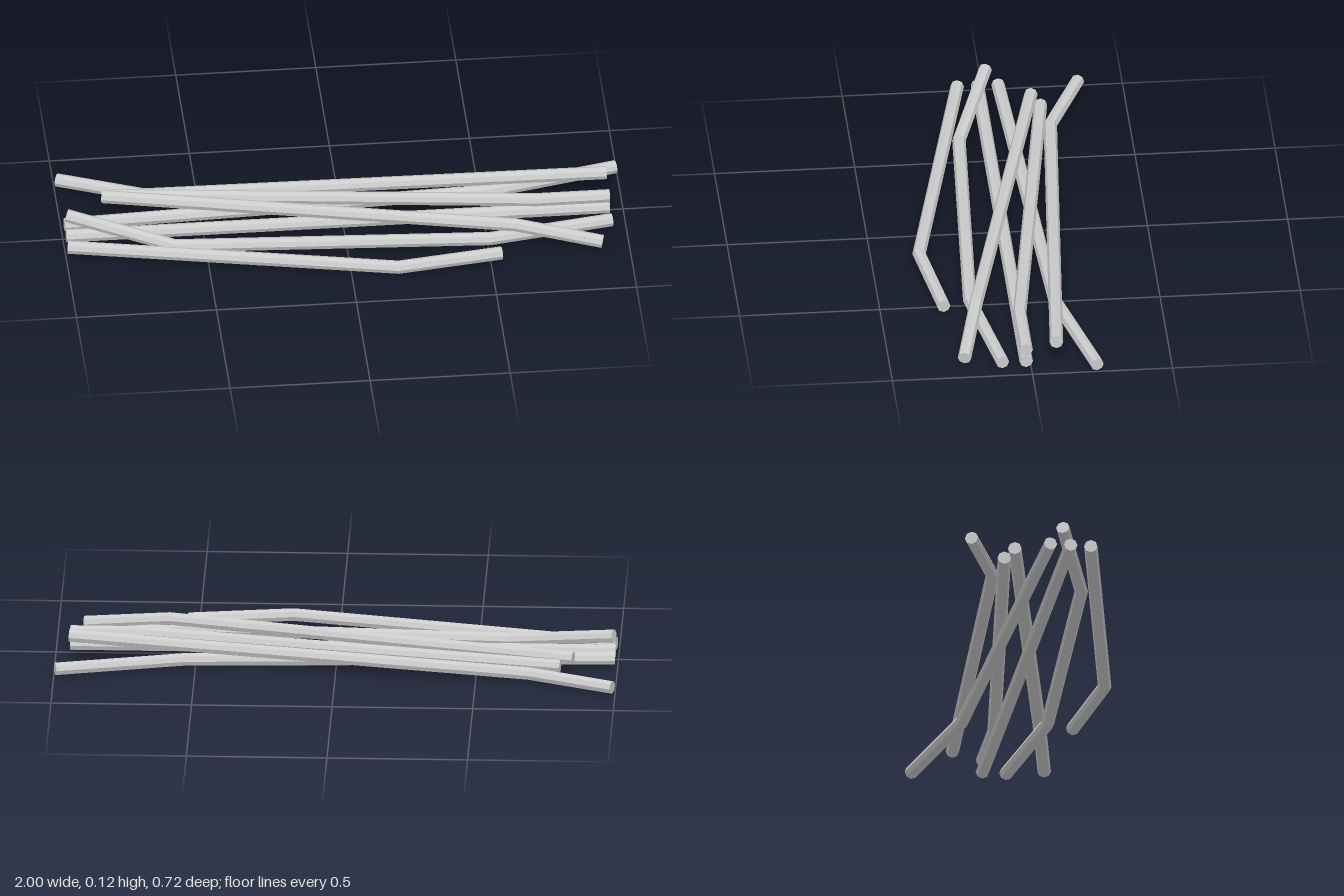
import * as THREE from 'three';

const SIDES = 8;
const RADIUS = 0.024;
const LOW = 0.027;

// Octagonal stick swept along a bent path, mitred at each bend, capped at both ends
function stickGeometry(path) {
  const pts = path.map((p) => new THREE.Vector3(...p));
  const last = pts.length - 1;
  const dirs = pts.slice(1).map((p, i) => p.clone().sub(pts[i]).normalize());
  const positions = [];
  const index = [];
  pts.forEach((p, i) => {
    const before = dirs[Math.max(i - 1, 0)];
    const after = dirs[Math.min(i, last - 1)];
    const dir = before.clone().add(after).normalize();
    const side = new THREE.Vector3(0, 1, 0).cross(dir).normalize();
    const up = dir.clone().cross(side);
    const miter = 1 / dir.dot(after);
    for (let k = 0; k < SIDES; k++) {
      const a = (k / SIDES) * Math.PI * 2;
      const v = p.clone()
        .addScaledVector(side, Math.cos(a) * RADIUS * miter)
        .addScaledVector(up, Math.sin(a) * RADIUS);
      positions.push(v.x, v.y, v.z);
    }
  });
  for (let i = 0; i < last; i++) {
    for (let k = 0; k < SIDES; k++) {
      const n = (k + 1) % SIDES;
      const a = i * SIDES + k, b = i * SIDES + n;
      index.push(a, b, b + SIDES, a, b + SIDES, a + SIDES);
    }
  }
  const end = last * SIDES;
  for (let k = 1; k < SIDES - 1; k++) {
    index.push(0, k + 1, k, end, end + k, end + k + 1);
  }
  const geometry = new THREE.BufferGeometry();
  geometry.setAttribute('position', new THREE.Float32BufferAttribute(positions, 3));
  geometry.setIndex(index);
  geometry.computeVertexNormals();
  return geometry;
}

// Centre lines of the sticks, from the right end of the pile to its left end
const STICKS = {
  backStick: [[-0.99, LOW, -0.34], [-0.69, LOW, -0.215], [0.95, 0.1, -0.09]],
  backGroundStick: [[-0.99, LOW, -0.055], [0.54, LOW, -0.122], [0.995, LOW, -0.232]],
  middleGroundStick: [[-0.99, LOW, 0.018], [0.95, LOW, 0.018]],
  upperStick: [[-0.8, 0.048, -0.19], [0.69, 0.073, 0.018], [0.95, 0.073, 0.018]],
  crossingStick: [[-0.845, 0.067, -0.16], [0.6, 0.07, 0.165], [0.905, 0.025, 0.234]],
  raisedEndStick: [[-0.985, 0.095, -0.01], [-0.61, LOW, 0.118], [0.51, LOW, 0.18], [0.95, LOW, 0.102]],
  frontStick: [[-0.99, LOW, 0.09], [0.167, LOW, 0.33], [0.54, LOW, 0.275]],
};

export function createModel() {
  const group = new THREE.Group();
  group.name = 'stickPile';
  const material = new THREE.MeshStandardMaterial({ color: 0xcccccc, flatShading: true });
  for (const [name, path] of Object.entries(STICKS)) {
    const mesh = new THREE.Mesh(stickGeometry(path), material);
    mesh.name = name;
    group.add(mesh);
  }
  return group;
}
